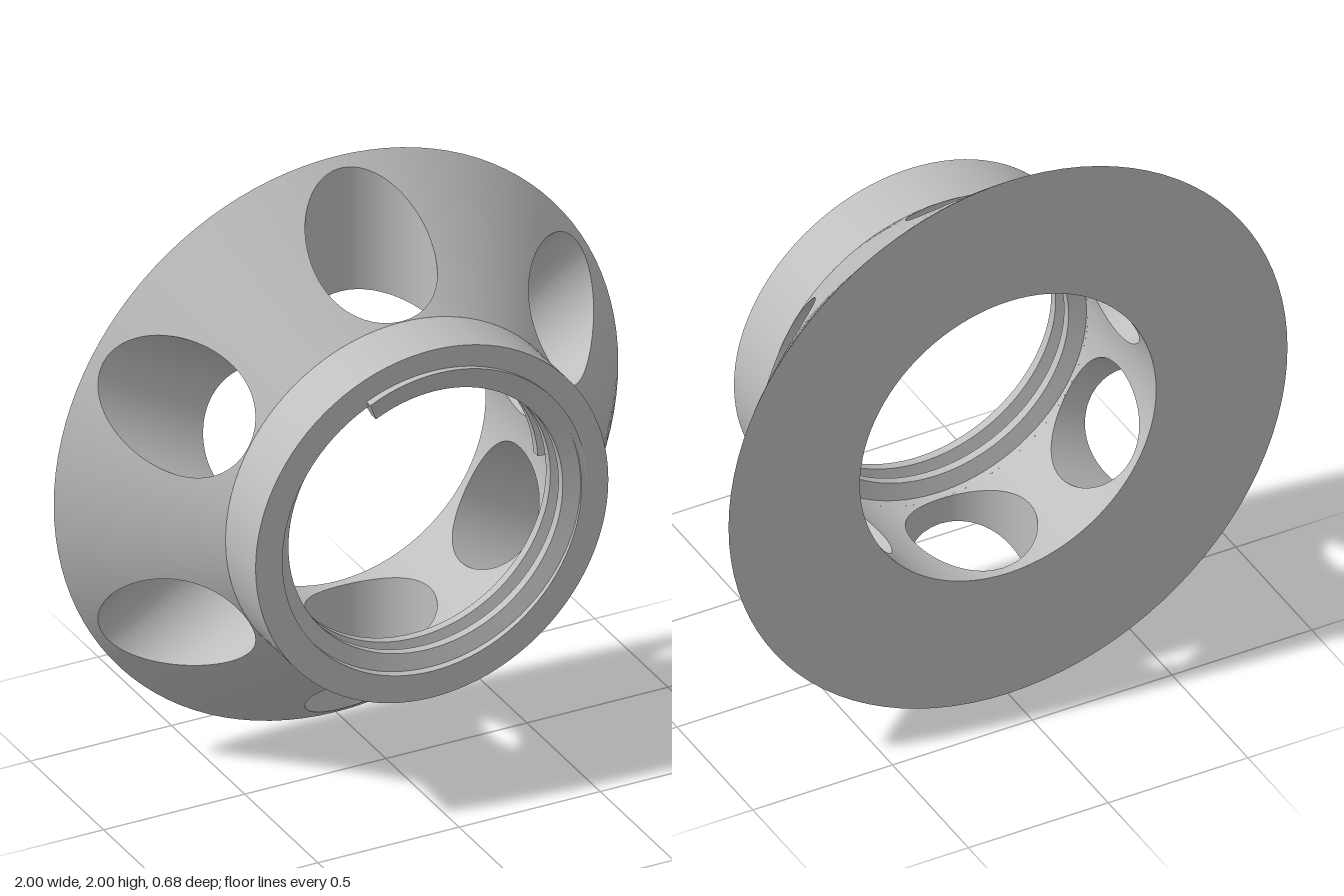
import * as THREE from 'three';
import { mergeGeometries } from 'three/addons/utils/BufferGeometryUtils.js';

const FRONT = 0.315, HUB = 0.11, BACK = -0.34;   // z of front face, hub base, back face
const BORE = 0.53, HUB_R = 0.625, RIM = 1;       // radii
const HOLE_R = 0.208, HOLE_Z = -0.1;
const RAD = Math.PI / 180;

// point on the ring's axis frame: radius, angle, z
const polar = (r, a, z) => new THREE.Vector3(r * Math.cos(a), 1 + r * Math.sin(a), z);
const polarDir = (r, a, z) => new THREE.Vector3(r * Math.cos(a), r * Math.sin(a), z).normalize();

// surface grid; each triangle is wound to agree with the given normals
function grid(nu, nv, point, normal) {
  const pos = [], nor = [], idx = [], P = [], N = [];
  for (let i = 0; i <= nu; i++) for (let j = 0; j <= nv; j++) {
    const p = point(i, j), n = normal(i, j);
    P.push(p); N.push(n);
    pos.push(p.x, p.y, p.z);
    nor.push(n.x, n.y, n.z);
  }
  const tri = (a, b, c) => {
    const f = P[b].clone().sub(P[a]).cross(P[c].clone().sub(P[a]));
    const n = N[a].clone().add(N[b]).add(N[c]);
    if (f.dot(n) >= 0) idx.push(a, b, c); else idx.push(a, c, b);
  };
  for (let i = 0; i < nu; i++) for (let j = 0; j < nv; j++) {
    const a = i * (nv + 1) + j, b = a + nv + 1;
    tri(a, b, b + 1);
    tri(a, b + 1, a + 1);
  }
  const g = new THREE.BufferGeometry();
  g.setAttribute('position', new THREE.Float32BufferAttribute(pos, 3));
  g.setAttribute('normal', new THREE.Float32BufferAttribute(nor, 3));
  g.setIndex(idx);
  return g;
}

// sweep one profile edge (r, z) round the axis, with an optional helical rise
function sweep([r0, z0], [r1, z1], a0 = 0, a1 = 2 * Math.PI, rise = 0, seg = 96) {
  const ang = i => a0 + (a1 - a0) * i / seg;
  return grid(seg, 1,
    (i, j) => polar(j ? r1 : r0, ang(i), (j ? z1 : z0) + rise * i / seg),
    i => polarDir(z1 - z0, ang(i), r0 - r1));
}

// sector outline, 60 degrees wide, as [angle, z] from one corner round to itself
function sectorOutline() {
  const w = Math.PI / 6, c = [[-w, BACK], [w, BACK], [w, HUB], [-w, HUB]], out = [];
  c.forEach((p, k) => {
    const q = c[(k + 1) % 4];
    for (let i = 0; i < 18; i++) out.push([p[0] + (q[0] - p[0]) * i / 18, p[1] + (q[1] - p[1]) * i / 18]);
  });
  out.push(c[0]);
  return out;
}

const coneRadius = z => HUB_R + (RIM - HUB_R) * (HUB - z) / (HUB - BACK);
const boreRadius = () => BORE;

// sector of a round wall with a radial hole through its middle
function piercedSector(mid, radius, nr, nz) {
  const line = sectorOutline(), K = 6;
  const at = (i, j) => {
    const [a, z] = line[i], h = Math.atan2(z - HOLE_Z, a * 0.6);
    const hz = HOLE_Z + HOLE_R * Math.sin(h);
    const ha = Math.asin(HOLE_R * Math.cos(h) / radius(hz));
    return [ha + (a - ha) * j / K, hz + (z - hz) * j / K];
  };
  return grid(line.length - 1, K,
    (i, j) => { const [a, z] = at(i, j); return polar(radius(z), mid + a, z); },
    (i, j) => polarDir(nr, mid + at(i, j)[0], nz));
}

// wall of one radial hole, from the bore out to the cone
function holeWall(mid) {
  const line = sectorOutline();
  const ang = i => Math.atan2(line[i][1] - HOLE_Z, line[i][0] * 0.6);
  return grid(line.length - 1, 1, (i, j) => {
    const z = HOLE_Z + HOLE_R * Math.sin(ang(i)), r = j ? coneRadius(z) : BORE;
    return polar(r, mid + Math.asin(HOLE_R * Math.cos(ang(i)) / r), z);
  }, i => polarDir(-Math.cos(ang(i)), mid + Math.PI / 2, -Math.sin(ang(i))));
}

export function createModel() {
  const model = new THREE.Group();
  model.name = 'flaredCollar';
  const grey = new THREE.MeshStandardMaterial({ color: 0xbfbfbf });
  grey.name = 'grey';
  const add = (name, parts) => {
    const m = new THREE.Mesh(mergeGeometries(parts), grey);
    m.name = name;
    model.add(m);
  };

  // cylindrical hub at the front
  add('hub', [
    sweep([HUB_R, HUB], [HUB_R, FRONT]),
    sweep([HUB_R, FRONT], [BORE, FRONT]),
    sweep([BORE, FRONT], [BORE, HUB]),
  ]);

  // flat back face
  add('backFace', [sweep([BORE, BACK], [RIM, BACK])]);

  // flared skirt, its bore, and six radial holes
  const mids = Array.from({ length: 6 }, (_, k) => (90 + 60 * k) * RAD);
  add('flaredSkirt', mids.map(m => piercedSector(m, coneRadius, HUB - BACK, RIM - HUB_R)));
  add('skirtBore', mids.map(m => piercedSector(m, boreRadius, -1, 0)));
  add('radialHoles', mids.map(holeWall));

  // internal screw thread, running clockwise and backwards from the front
  const mid = 0.305, pitch = 0.085, a0 = 115 * RAD, turns = 2.31;
  const a1 = a0 - turns * 2 * Math.PI, rise = -pitch * turns;
  const section = [[0.475, mid - 0.015], [0.55, mid - 0.037], [0.55, mid + 0.037], [0.475, mid + 0.015]];
  const cap = (a, dz, s) => grid(1, 1, (i, j) => {
    const [r, z] = section[i ? (j ? 2 : 1) : (j ? 3 : 0)];
    return polar(r, a, z + dz);
  }, () => polarDir(s, a + Math.PI / 2, 0));
  add('thread', [
    ...section.map((p, k) => sweep(p, section[(k + 1) % 4], a0, a1, rise, 220)),
    cap(a0, 0, 1),
    cap(a1, rise, -1),
  ]);

  return model;
}
